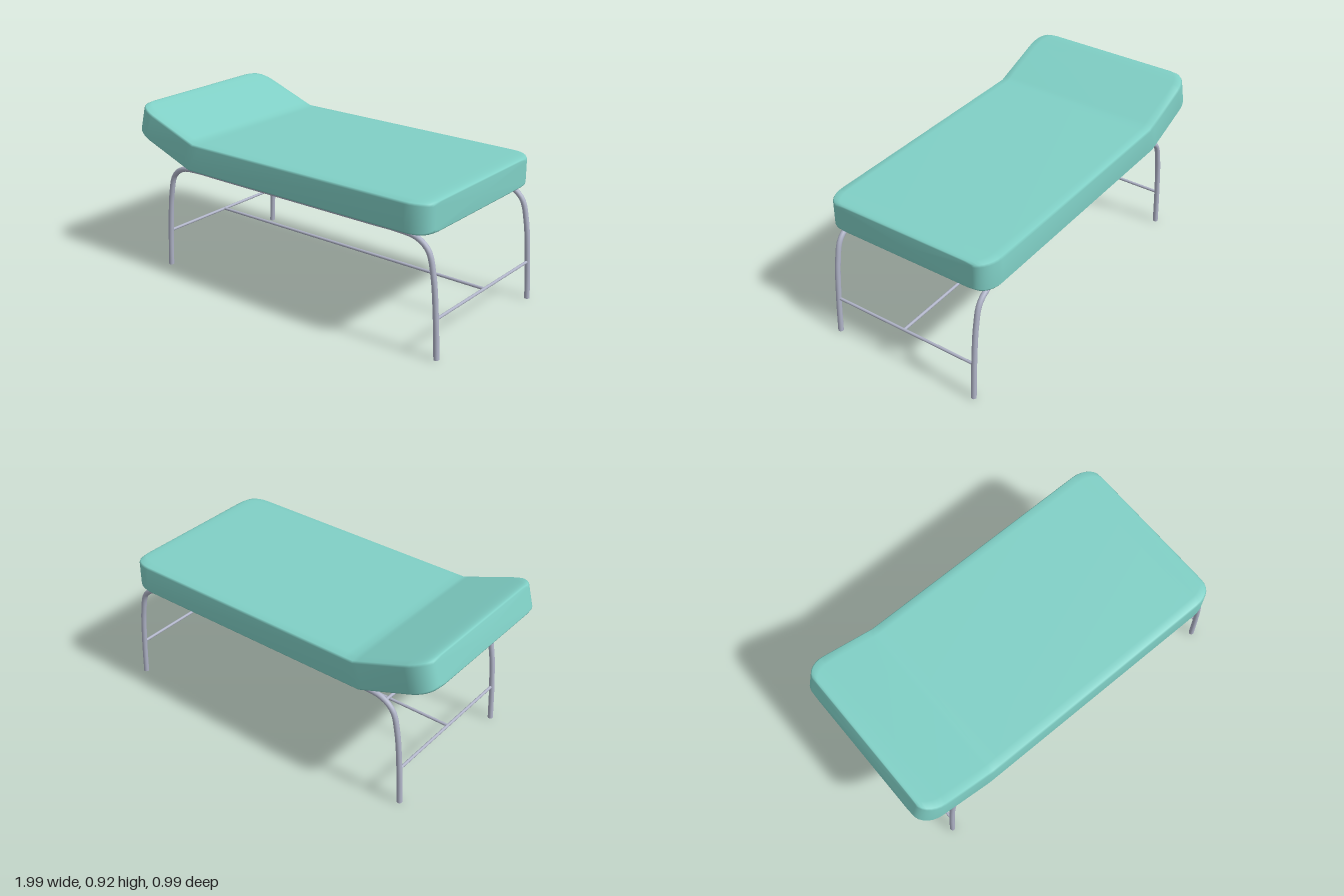
import * as THREE from 'three';

const padMaterial = new THREE.MeshStandardMaterial({ color: 0x80d0c6 });
const frameMaterial = new THREE.MeshStandardMaterial({ color: 0xb0b4c8 });
const mix = (a, b, t) => a + (b - a) * t;

// Pad stations run from the raised head to the foot:
// bottom point, top point, half width and how far the end edge is rounded.
function padStations() {
  const W = 0.493, RZ = 0.085, RX = 0.12;
  const stations = [];
  const add = (bx, by, tx, ty, w = W, inset = 0) => stations.push({ bx, by, tx, ty, w, inset });
  const head = (t, w, inset) =>
    add(mix(-0.59, -1, t), mix(0.618, 0.77, t), mix(-0.55, -0.957, t), mix(0.782, 0.93, t), w, inset);
  const foot = (x, w, inset) => add(x, 0.618, x, mix(0.782, 0.786, (x + 0.55) / 1.48), w, inset);
  const steps = 7;
  const corner = (i) => {
    const a = (i / steps) * Math.PI / 2;
    return [Math.sin(a), W - RZ + RZ * Math.cos(a), 0.09 * Math.pow(1 - Math.cos(a), 2)];
  };
  for (let i = steps; i >= 0; i--) {
    const [s, w, inset] = corner(i);
    head(1 - 0.28 + 0.28 * s, w, inset);
  }
  head(0.08);
  head(0);
  foot(-0.5);
  for (let i = 0; i <= steps; i++) {
    const [s, w, inset] = corner(i);
    foot(0.933 - RX + RX * s, w, inset);
  }
  return stations;
}

// Skin the pad through bevelled cross-sections and close both ends.
function createPad() {
  const half = [[-0.05, 0], [-0.008, 0.035], [0, 0.1], [0, 0.9], [-0.008, 0.965], [-0.05, 1]];
  const stations = padStations();
  const positions = [], index = [];
  const n = half.length * 2;
  for (const s of stations) {
    const ring = half.map(([dz, h]) => [s.w + dz, h]);
    ring.push(...ring.map(([z, h]) => [-z, h]).reverse());
    for (const [z, h0] of ring) {
      const h = mix(s.inset, 1 - s.inset, h0);
      positions.push(mix(s.bx, s.tx, h), mix(s.by, s.ty, h), z);
    }
  }
  for (let i = 0; i < stations.length - 1; i++) {
    for (let j = 0; j < n; j++) {
      const k = (j + 1) % n;
      const a = i * n + j, b = i * n + k, c = a + n, d = b + n;
      index.push(a, c, d, a, d, b);
    }
  }
  [0, stations.length - 1].forEach((i) => {
    const s = stations[i];
    const centre = positions.length / 3;
    positions.push((s.bx + s.tx) / 2, (s.by + s.ty) / 2, 0);
    for (let j = 0; j < n; j++) {
      const a = i * n + j, b = i * n + (j + 1) % n;
      index.push(centre, ...(i === 0 ? [a, b] : [b, a]));
    }
  });
  const geometry = new THREE.BufferGeometry();
  geometry.setAttribute('position', new THREE.Float32BufferAttribute(positions, 3));
  geometry.setIndex(index);
  geometry.computeVertexNormals();
  const pad = new THREE.Mesh(geometry, padMaterial);
  pad.name = 'paddedTop';
  return pad;
}

// Straight round bar between two points.
function createBar(name, from, to, radius) {
  const a = new THREE.Vector3(...from), b = new THREE.Vector3(...to);
  const bar = new THREE.Mesh(new THREE.CylinderGeometry(radius, radius, a.distanceTo(b), 12), frameMaterial);
  bar.position.copy(a).add(b).multiplyScalar(0.5);
  bar.quaternion.setFromUnitVectors(new THREE.Vector3(0, 1, 0), b.sub(a).normalize());
  bar.name = name;
  return bar;
}

// One bent tube forms two legs and the rail between them.
function createLegRail(name, z) {
  const group = new THREE.Group();
  group.name = name;
  const middle = 0.08, radius = 0.0145;
  const side = [[0.9, 0], [0.889, 0.21], [0.867, 0.43], [0.835, 0.545], [0.77, 0.594], [0.66, 0.607], [0.5, 0.607]];
  const points = [
    ...side.map(([x, y]) => new THREE.Vector3(middle - x, y, z)),
    ...side.slice().reverse().map(([x, y]) => new THREE.Vector3(middle + x, y, z)),
  ];
  const path = new THREE.CatmullRomCurve3(points, false, 'centripetal');
  const tube = new THREE.Mesh(new THREE.TubeGeometry(path, 120, radius, 14), frameMaterial);
  tube.name = 'bentTube';
  group.add(tube);
  for (const s of [-1, 1]) {
    const cap = new THREE.Mesh(new THREE.CircleGeometry(radius, 14), frameMaterial);
    cap.rotation.x = Math.PI / 2;
    cap.position.set(middle + s * 0.9, 0.0005, z);
    cap.name = 'footCap';
    group.add(cap);
  }
  return group;
}

export function createModel() {
  const model = new THREE.Group();
  model.name = 'examinationCouch';
  const Z = 0.432;

  model.add(createPad());
  model.add(createLegRail('frontLegRail', Z), createLegRail('backLegRail', -Z));

  // Braces between the legs
  model.add(createBar('headLowerBar', [-0.809, 0.208, -Z], [-0.809, 0.208, Z], 0.008));
  model.add(createBar('footLowerBar', [0.969, 0.208, -Z], [0.969, 0.208, Z], 0.008));
  model.add(createBar('headUpperBar', [-0.71, 0.585, -Z], [-0.71, 0.585, Z], 0.008));
  model.add(createBar('longBrace', [-0.809, 0.208, 0], [0.969, 0.208, 0], 0.008));
  return model;
}
